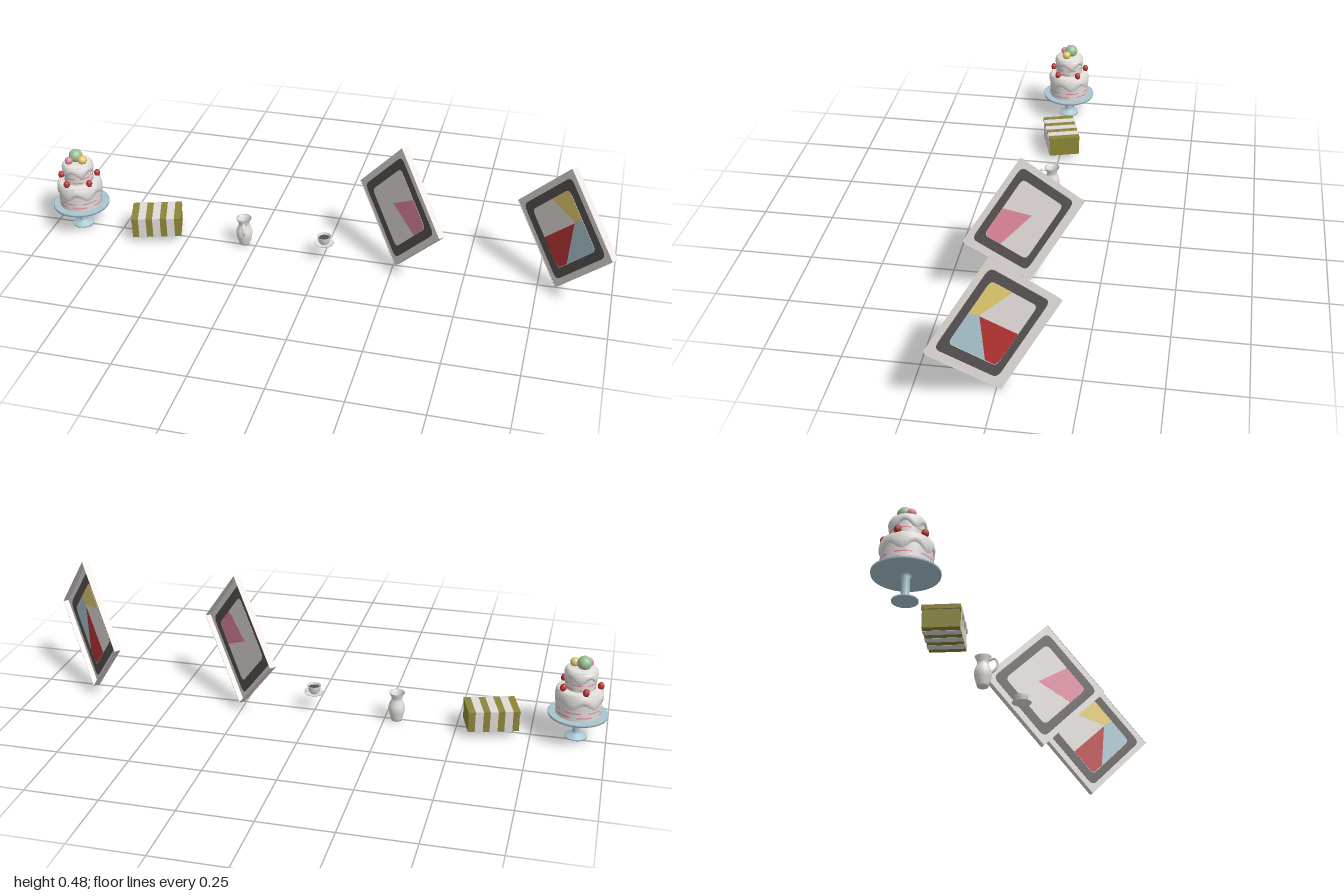
import * as THREE from 'three';

const mat = (name, color, side = THREE.FrontSide) => {
  const m = new THREE.MeshStandardMaterial({ color, side });
  m.name = name;
  return m;
};

export function createModel() {
  const root = new THREE.Group();
  root.name = 'stillLifeSet';
  const white = mat('canvasWhite', 0xe0dad8, THREE.DoubleSide);
  const dark = mat('charcoal', 0x575251);
  const pink = mat('pink', 0xe0879c);
  const red = mat('red', 0xb93535);
  const blue = mat('paleBlue', 0xa9c5cf);
  const yellow = mat('yellow', 0xe3cb6e);
  const green = mat('green', 0x9cbf94);
  const olive = mat('olive', 0x8c8638);
  const porcelain = mat('porcelain', 0xe2dfdc, THREE.DoubleSide);

  const group = (name, x, y, z, parent = root) => {
    const g = new THREE.Group();
    g.name = name;
    g.position.set(x, y, z);
    parent.add(g);
    return g;
  };
  const add = (parent, name, geometry, material, x = 0, y = 0, z = 0) => {
    const m = new THREE.Mesh(geometry, material);
    m.name = name;
    m.position.set(x, y, z);
    parent.add(m);
    return m;
  };
  const lathe = (pts) => new THREE.LatheGeometry(pts.map(([r, y]) => new THREE.Vector2(r, y)), 40);
  const tube = (pts, r) => new THREE.TubeGeometry(
    new THREE.CatmullRomCurve3(pts.map((p) => new THREE.Vector3(...p))), 20, r, 8);

  // Thin plate, centred on its own plane so it is visible from both sides
  const plate = (shape, thick) => new THREE.ExtrudeGeometry(shape, { depth: thick, bevelEnabled: false, curveSegments: 6 })
    .translate(0, 0, -thick / 2);
  const roundRect = (w, h, r) => {
    const s = new THREE.Shape();
    s.moveTo(-w + r, -h);
    s.lineTo(w - r, -h); s.quadraticCurveTo(w, -h, w, -h + r);
    s.lineTo(w, h - r); s.quadraticCurveTo(w, h, w - r, h);
    s.lineTo(-w + r, h); s.quadraticCurveTo(-w, h, -w, h - r);
    s.lineTo(-w, -h + r); s.quadraticCurveTo(-w, -h, -w + r, -h);
    return s;
  };

  // Diamond-hung pictures: shallow trays open at the back
  const picture = (name, x, patches) => {
    const g = group(name, x, 0.239, 0);
    g.rotation.y = -Math.PI / 4;
    const A = 0.175, B = 0.1615, T = 0.023, faceZ = T / 2 - 0.003;
    const tray = group('tray', 0, 0, 0, g);
    tray.rotation.z = Math.PI / 4;
    for (const s of [-1, 1]) {
      add(tray, 'longEdge', new THREE.BoxGeometry(2 * A, 0.002, T), white, 0, s * (B - 0.001), 0);
      add(tray, 'shortEdge', new THREE.BoxGeometry(0.002, 2 * B - 0.004, T), white, s * (A - 0.001), 0, 0);
    }
    add(tray, 'canvas', new THREE.BoxGeometry(2 * A - 0.004, 2 * B - 0.004, 0.003), white, 0, 0, faceZ);
    add(tray, 'darkBorder', plate(roundRect(0.151, 0.139, 0.025), 0.004), dark, 0, 0, faceZ);
    add(tray, 'innerPanel', plate(roundRect(0.116, 0.108, 0.02), 0.005), white, 0, 0, faceZ);
    for (const [patchName, material, pts] of patches) {
      const shape = new THREE.Shape(pts.map((p) => new THREE.Vector2(...p)));
      add(g, patchName, plate(shape, 0.006), material, 0, 0, faceZ);
    }
  };
  picture('pinkPicture', 0.27, [
    ['pinkPatch', pink, [[-0.03, 0.005], [0.098, -0.055], [0.147, -0.003], [0.149, 0.008], [0.147, 0.016], [0.085, 0.078]]],
  ]);
  picture('colourPicture', 0.824, [
    ['yellowPatch', yellow, [[0.049, 0.056], [0.085, 0.078], [0.018, 0.145], [0.005, 0.149], [-0.006, 0.146], [-0.067, 0.084]]],
    ['bluePatch', blue, [[0.049, 0.056], [0.034, -0.116], [0.147, -0.003], [0.149, 0.008], [0.147, 0.016], [0.085, 0.078]]],
    ['redPatch', red, [[0.049, 0.052], [-0.086, -0.077], [-0.017, -0.145], [-0.005, -0.149], [0.004, -0.146], [0.034, -0.116]]],
  ]);

  // Cake on its stand
  const cake = group('cake', -0.9, 0, 0.011);
  add(cake, 'stand', lathe([[0, 0.009], [0.038, 0.009], [0.038, 0.014], [0.015, 0.022], [0.0125, 0.03],
    [0.0125, 0.085], [0.02, 0.091], [0.099, 0.092], [0.1, 0.099], [0.097, 0.1], [0, 0.1]]), blue);
  const icing = (r, top, drop, waves) => {
    const geo = lathe([[r - 0.004, top - drop], [r + 0.003, top - drop], [r + 0.005, top - drop * 0.6],
      [r + 0.002, top - 0.008], [r - 0.006, top], [0, top]]);
    const p = geo.attributes.position;
    for (let i = 0; i < p.count; i++) {
      const y = p.getY(i);
      const hang = Math.max(0, (top - 0.008 - y) / drop);
      p.setY(i, y + hang * 0.014 * Math.sin(Math.atan2(p.getZ(i), p.getX(i)) * waves));
    }
    geo.computeVertexNormals();
    return geo;
  };
  for (const [name, r, y0, y1, drop, waves] of [['lowerTier', 0.075, 0.1, 0.195, 0.045, 6], ['upperTier', 0.051, 0.19, 0.267, 0.035, 5]]) {
    add(cake, name, new THREE.CylinderGeometry(r, r, y1 - y0 - 0.005, 40), white, 0, (y0 + y1 - 0.005) / 2, 0);
    add(cake, name + 'Icing', icing(r, y1, drop, waves), porcelain);
    // Broken pink lines around each tier
    for (let row = 0; row < 2; row++) {
      for (let i = 0; i < 6; i++) {
        const arc = new THREE.CylinderGeometry(r + 0.001, r + 0.001, 0.004, 8, 1, true, i * Math.PI / 3 + row * 0.5, 0.7);
        add(cake, 'pinkLine', arc, pink, 0, y0 + 0.013 + row * 0.016, 0);
      }
    }
  }
  for (let i = 0; i < 5; i++) {
    const a = 0.6 + i * Math.PI * 2 / 5;
    const berry = add(cake, 'berry', new THREE.SphereGeometry(0.011, 12, 8), red,
      Math.cos(a) * 0.067, 0.203, Math.sin(a) * 0.067);
    berry.scale.y = 1.25;
  }
  add(cake, 'greenBall', new THREE.SphereGeometry(0.024, 20, 14), green, -0.007, 0.284, -0.007);
  add(cake, 'yellowBall', new THREE.SphereGeometry(0.016, 16, 12), yellow, 0.024, 0.278, 0.008);
  add(cake, 'pinkBall', new THREE.SphereGeometry(0.014, 16, 12), pink, -0.022, 0.276, 0.021);

  // Striped chest with a lid seam
  const chest = group('chest', -0.615, 0, 0.003);
  chest.rotation.y = 0.29;
  add(chest, 'chestBody', new THREE.BoxGeometry(0.172, 0.058, 0.112), olive, 0, 0.051, 0);
  add(chest, 'lidSeam', new THREE.BoxGeometry(0.17, 0.004, 0.11), dark, 0, 0.081, 0);
  add(chest, 'chestLid', new THREE.BoxGeometry(0.175, 0.014, 0.116), olive, 0, 0.089, 0);
  for (const x of [-0.05, 0, 0.05]) {
    add(chest, 'bodyBand', new THREE.BoxGeometry(0.027, 0.06, 0.116), white, x, 0.051, 0);
    add(chest, 'lidBand', new THREE.BoxGeometry(0.027, 0.015, 0.119), white, x, 0.0895, 0);
  }

  // Jug
  const jug = group('jug', -0.292, 0, -0.007);
  add(jug, 'jugBody', lathe([[0, 0.003], [0.018, 0.003], [0.02, 0.01], [0.027, 0.035], [0.029, 0.05], [0.026, 0.065],
    [0.019, 0.08], [0.019, 0.09], [0.027, 0.108], [0.024, 0.107], [0.016, 0.09], [0.016, 0.08], [0.023, 0.06], [0, 0.03]]), porcelain);
  add(jug, 'jugHandle', tube([[0.004, 0.094, 0.018], [0.009, 0.1, 0.036], [0.012, 0.083, 0.046],
    [0.01, 0.062, 0.04], [0.007, 0.052, 0.026]], 0.004), porcelain);

  // Cup and saucer
  const cup = group('cup', 0.005, 0, 0.012);
  add(cup, 'saucer', lathe([[0, 0.057], [0.018, 0.057], [0.034, 0.063], [0.033, 0.065], [0.017, 0.06], [0, 0.06]]), porcelain);
  add(cup, 'cupBowl', lathe([[0, 0.06], [0.012, 0.06], [0.019, 0.068], [0.0235, 0.09], [0.021, 0.09], [0.016, 0.07], [0, 0.065]]), porcelain);
  add(cup, 'drink', new THREE.CylinderGeometry(0.0195, 0.0185, 0.003, 24), dark, 0, 0.082, 0);
  add(cup, 'cupHandle', tube([[0.015, 0.085, -0.015], [0.023, 0.086, -0.023], [0.024, 0.077, -0.024], [0.013, 0.07, -0.013]], 0.0022), porcelain);

  return root;
}
